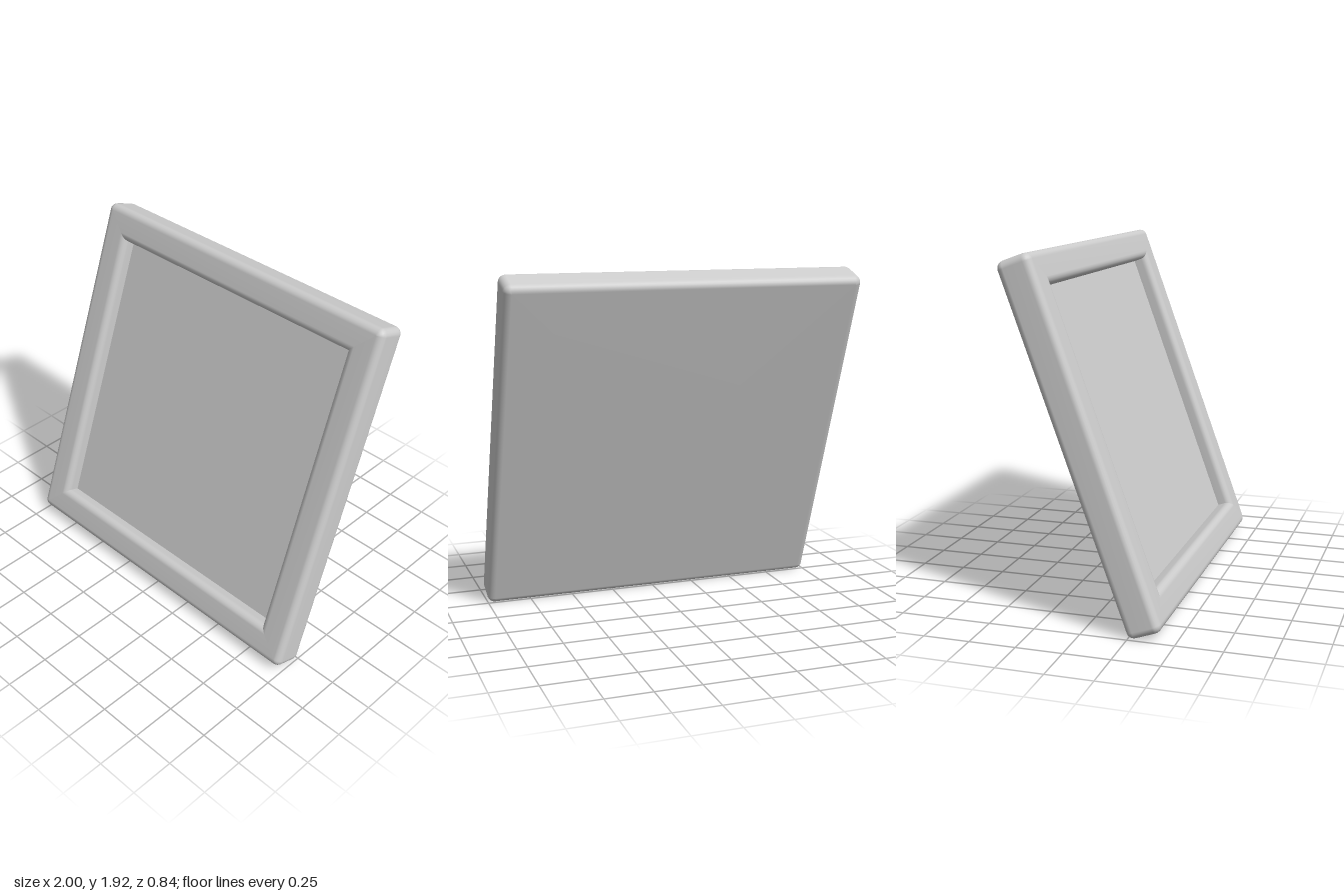
import * as THREE from 'three';

const BEVEL = 0.04;   // rounding of the rim edges
const DEPTH = 0.095;  // half thickness
const INNER = 0.82;   // half size of the opening
const PANEL_Z = 0.01; // recessed panel plane

// quarter-round profile points [half size, z] about a centre
function arc(h, z, from, to, steps = 5) {
  return Array.from({ length: steps + 1 }, (_, i) => {
    const a = from + (to - from) * i / steps;
    return [h + BEVEL * Math.cos(a), z + BEVEL * Math.sin(a)];
  });
}

// square loop whose corners are rounded by r
function squareLoop(h, r, steps = 5) {
  const points = [];
  for (let q = 0; q < 4; q++) {
    const mid = Math.PI / 4 + q * Math.PI / 2;
    const cx = Math.sign(Math.cos(mid)) * (h - r);
    const cy = Math.sign(Math.sin(mid)) * (h - r);
    for (let i = 0; i <= steps; i++) {
      const a = (q + i / steps) * Math.PI / 2;
      points.push([cx + r * Math.cos(a), cy + r * Math.sin(a)]);
    }
  }
  return points;
}

// skin of square loops following the profile from the back centre to the inner wall
function frameGeometry() {
  const half = Math.PI / 2;
  const profile = [
    [0, -DEPTH],
    ...arc(1 - BEVEL, -DEPTH + BEVEL, -half, 0),
    ...arc(1 - BEVEL, DEPTH - BEVEL, 0, half),
    ...arc(INNER + BEVEL, DEPTH - BEVEL, half, Math.PI),
    [INNER, PANEL_Z],
  ];
  const position = [], index = [];
  let n = 0;
  profile.forEach(([h, z], i) => {
    const loop = squareLoop(h, Math.max(0, h - (1 - BEVEL)));
    n = loop.length;
    loop.forEach(([x, y], j) => {
      position.push(x, y, z);
      if (i === profile.length - 1) return;
      const a = i * n + j, b = i * n + (j + 1) % n;
      index.push(a, b, a + n, b, b + n, a + n);
    });
  });
  const geometry = new THREE.BufferGeometry();
  geometry.setAttribute('position', new THREE.Float32BufferAttribute(position, 3));
  geometry.setIndex(index);
  geometry.computeVertexNormals();
  return geometry;
}

export function createModel() {
  const lightGrey = new THREE.MeshStandardMaterial({ color: 0xcccccc });
  lightGrey.name = 'lightGrey';

  // rounded frame with closed back
  const frame = new THREE.Mesh(frameGeometry(), lightGrey);
  frame.name = 'frame';

  // recessed front panel
  const panel = new THREE.Mesh(new THREE.PlaneGeometry(2 * INNER, 2 * INNER), lightGrey);
  panel.name = 'panel';
  panel.position.z = PANEL_Z;

  // whole tile leans backwards
  const tile = new THREE.Group();
  tile.name = 'tiltedTile';
  tile.add(frame, panel);
  tile.rotation.x = THREE.MathUtils.degToRad(-20);
  tile.position.y = 0.962;

  const model = new THREE.Group();
  model.name = 'framedPanel';
  model.add(tile);
  return model;
}
